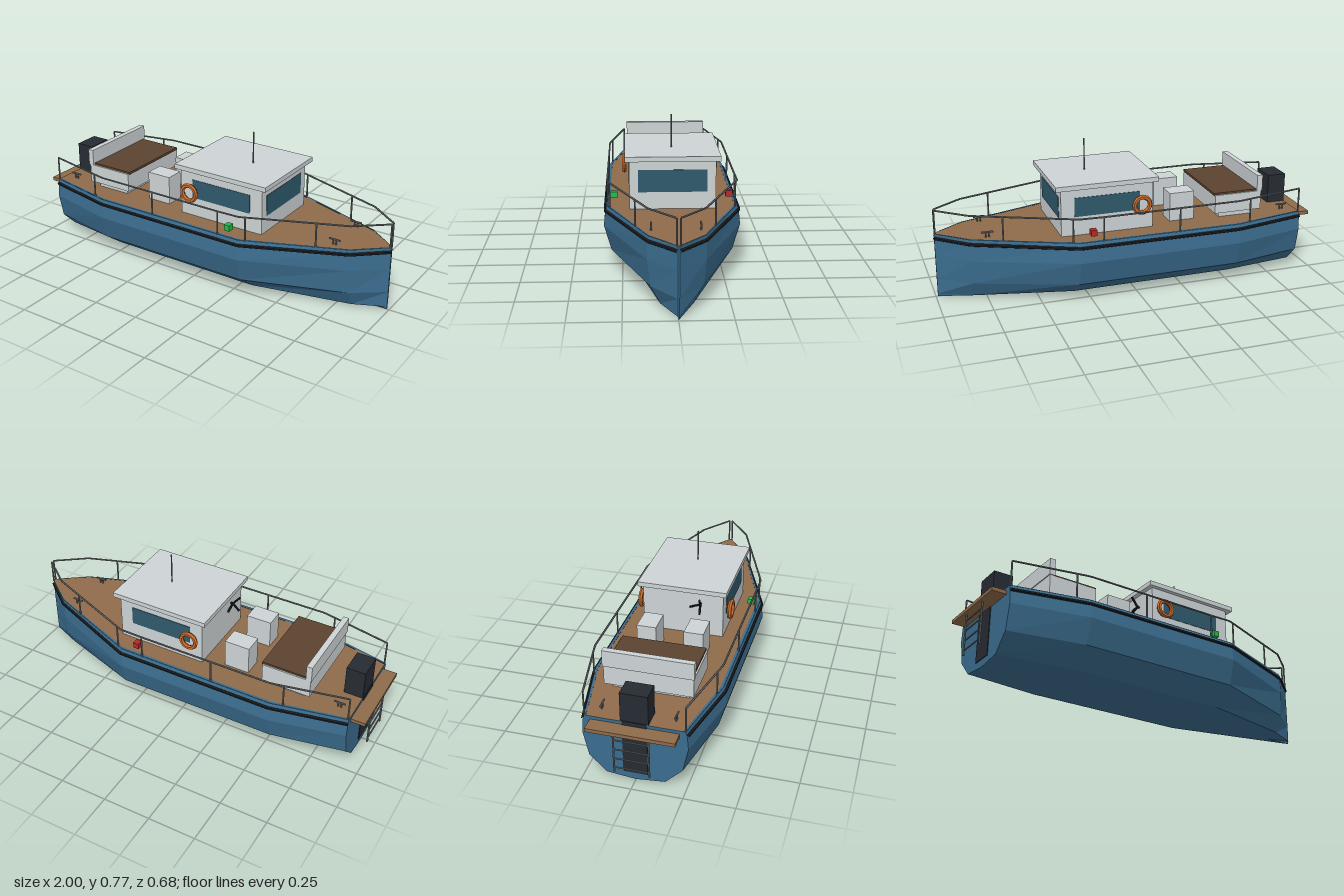
import * as THREE from 'three';

const mat = (color, extra = {}) => new THREE.MeshStandardMaterial({ color, flatShading: true, ...extra });
const M = {
  hull: mat(0x3b6d8f, { side: THREE.DoubleSide }),
  deck: mat(0x8f6b4a, { side: THREE.DoubleSide }),
  wood: mat(0x8f6b4a),
  white: mat(0xcdd3d5),
  cushion: mat(0x5c4330),
  dark: mat(0x262b33),
  rubber: mat(0x1a1c1f),
  glass: mat(0x2f5a6c),
  metal: mat(0x74787d),
  orange: mat(0xcc6a28),
  green: mat(0x28b84c),
  red: mat(0xb82828),
};

// Hull stations: x, width factor, sheer height
const STATIONS = [
  [-0.925, 0.75, 0.326], [-0.54, 1, 0.328], [0.32, 1, 0.331], [0.83, 0.4, 0.341], [0.99, 0.014, 0.346],
];
const BEAM = 0.325;

// Interpolated station at any x
function stationAt(x) {
  let i = 0;
  while (i < STATIONS.length - 2 && x > STATIONS[i + 1][0]) i++;
  const [a, b] = [STATIONS[i], STATIONS[i + 1]];
  const t = (x - a[0]) / (b[0] - a[0]);
  return { w: a[1] + (b[1] - a[1]) * t, top: a[2] + (b[2] - a[2]) * t };
}

// Skin between cross-sections, with optional flat end caps
function loft(sections, caps) {
  const pos = [];
  const tri = (...pts) => pts.forEach((p) => pos.push(...p));
  for (let i = 0; i < sections.length - 1; i++) {
    const [a, b] = [sections[i], sections[i + 1]];
    for (let j = 0; j < a.length - 1; j++) {
      tri(a[j], a[j + 1], b[j]);
      tri(a[j + 1], b[j + 1], b[j]);
    }
  }
  if (caps) {
    const [a, b] = [sections[0], sections[sections.length - 1]];
    for (let j = 1; j < a.length - 1; j++) {
      tri(a[0], a[j + 1], a[j]);
      tri(b[0], b[j], b[j + 1]);
    }
  }
  const g = new THREE.BufferGeometry();
  g.setAttribute('position', new THREE.Float32BufferAttribute(pos, 3));
  g.computeVertexNormals();
  return g;
}

export function createModel() {
  const root = new THREE.Group();
  root.name = 'boat';

  const add = (name, geo, material, x = 0, y = 0, z = 0) => {
    const m = new THREE.Mesh(geo, material);
    m.name = name;
    m.position.set(x, y, z);
    root.add(m);
    return m;
  };
  // Box given by its limits on each axis
  const box = (name, material, [x0, x1], [y0, y1], [z0, z1]) =>
    add(name, new THREE.BoxGeometry(x1 - x0, y1 - y0, z1 - z0), material,
      (x0 + x1) / 2, (y0 + y1) / 2, (z0 + z1) / 2);
  // Round bar between two points
  const bar = (name, material, p, q, r, sides = 6) => {
    const a = new THREE.Vector3(...p), b = new THREE.Vector3(...q);
    const d = b.clone().sub(a), c = a.clone().add(b).multiplyScalar(0.5);
    const m = add(name, new THREE.CylinderGeometry(r, r, d.length(), sides), material, c.x, c.y, c.z);
    m.quaternion.setFromUnitVectors(new THREE.Vector3(0, 1, 0), d.normalize());
    return m;
  };
  // Tube along straight segments
  const polyTube = (name, material, pts, r) => {
    const path = new THREE.CurvePath();
    const v = pts.map((p) => new THREE.Vector3(...p));
    for (let i = 0; i < v.length - 1; i++) path.add(new THREE.LineCurve3(v[i], v[i + 1]));
    return add(name, new THREE.TubeGeometry(path, 80, r, 6, false), material);
  };

  // Hull: chined section scaled along the stations
  const hullSections = STATIONS.map(([x, w, top]) => {
    const half = [[BEAM, top], [0.334, top - 0.025], [0.342, 0.228], [0.305, 0.1], [0.192, 0.015]];
    const left = half.map(([z, y]) => [x, y, z * w]);
    const right = left.map(([, y, z]) => [x, y, -z]).reverse();
    return [...left, [x, 0, 0], ...right];
  });
  add('hull', loft(hullSections, true), M.hull);

  // Rim strips and the deck inside them
  const strip = (z0, z1, lift) => STATIONS.map(([x, w, top]) => [
    [x, top + lift, z0 * w], [x, top + lift, z1 * w],
  ]);
  for (const [a, b] of [[-BEAM, -BEAM + 0.014], [BEAM - 0.014, BEAM]]) {
    add('hullRim', loft(strip(a, b, 0.001)), M.hull);
  }
  add('deck', loft(strip(-BEAM + 0.014, BEAM - 0.014, 0)), M.deck);

  for (const s of [1, -1]) {
    // Rub rail below the sheer
    polyTube('rubRail', M.rubber, STATIONS.map(([x, w, top]) => [x, top - 0.025, s * 0.334 * w]), 0.009);

    // Guard rail and posts
    const railZ = (x) => s * (BEAM - 0.002) * stationAt(x).w;
    const railY = (x) => 0.455 + Math.max(0, (x - 0.2) / 0.79) * 0.016;
    const railX = [-0.92, -0.605, -0.54, -0.21, 0.195, 0.32, 0.675, 0.83, 0.985];
    polyTube('guardRail', M.metal, railX.map((x) => [x, railY(x), railZ(x)]), 0.005);
    for (const x of [-0.92, -0.605, -0.21, 0.195, 0.35, 0.675, 0.985]) {
      bar('railPost', M.metal, [x, stationAt(x).top - 0.002, railZ(x)], [x, railY(x), railZ(x)], 0.0045);
    }

    // Mooring cleats
    for (const [x, z] of [[0.74, 0.115], [-0.85, 0.18]]) {
      const y = stationAt(x).top;
      for (const dx of [-0.008, 0.008]) {
        bar('cleatFoot', M.metal, [x + dx, y - 0.002, s * z], [x + dx, y + 0.027, s * z], 0.004);
      }
      bar('cleatBar', M.metal, [x - 0.03, y + 0.027, s * z], [x + 0.03, y + 0.027, s * z], 0.005);
    }

    // Life ring on the cabin side
    add('lifeRing', new THREE.TorusGeometry(0.041, 0.012, 6, 18), M.orange, -0.035, 0.463, s * 0.239);

    // Navigation light
    add('navigationLight', new THREE.BoxGeometry(0.031, 0.031, 0.035), s > 0 ? M.green : M.red, 0.241, 0.369, s * 0.291);

    // Helm seat
    box('helmSeat', M.white, [-0.345, -0.21], [0.325, 0.481], s > 0 ? [0.072, 0.172] : [-0.172, -0.072]);

    // Side window
    const g = s * 0.2135;
    box('sideWindow', M.glass, [-0.03, 0.315], [0.43, 0.53], [g - 0.002, g + 0.002]);
  }

  // Cabin
  box('cabin', M.white, [-0.1, 0.385], [0.325, 0.58], [-0.213, 0.213]);
  box('cabinRoof', M.white, [-0.125, 0.415], [0.577, 0.602], [-0.235, 0.235]);
  box('frontWindow', M.glass, [0.383, 0.387], [0.418, 0.53], [-0.17, 0.17]);
  bar('antenna', M.metal, [0.2, 0.6, 0], [0.2, 0.77, 0], 0.0035);

  // Helm spokes behind the cabin
  const hub = [-0.112, 0.51, 0.095];
  for (const tip of [[-0.15, 0.556, 0.1], [-0.147, 0.472, 0.1], [-0.114, 0.49, 0.04], [-0.098, 0.51, 0.095]]) {
    bar('helmSpoke', M.rubber, hub, tip, 0.006);
  }

  // Aft bench
  box('benchPlinth', M.white, [-0.67, -0.48], [0.325, 0.362], [-0.19, 0.19]);
  box('benchBody', M.white, [-0.705, -0.445], [0.36, 0.46], [-0.222, 0.222]);
  box('benchCushion', M.cushion, [-0.68, -0.44], [0.457, 0.47], [-0.214, 0.214]);
  box('benchBackrest', M.white, [-0.71, -0.68], [0.46, 0.547], [-0.226, 0.226]);

  // Outboard motor and its leg on the transom
  box('motorCover', M.dark, [-0.925, -0.825], [0.325, 0.482], [-0.068, 0.068]);
  box('motorLeg', M.dark, [-0.929, -0.9], [0.04, 0.33], [-0.06, 0.06]);

  // Swim platform and boarding ladder
  box('swimPlatform', M.wood, [-1, -0.92], [0.29, 0.309], [-0.215, 0.215]);
  for (const z of [-0.085, 0.085]) bar('ladderRail', M.metal, [-0.982, 0.075, z], [-0.982, 0.3, z], 0.005);
  for (let i = 0; i < 4; i++) {
    const y = 0.1 + i * 0.052;
    bar('ladderRung', M.metal, [-0.982, y, -0.085], [-0.982, y, 0.085], 0.004);
  }
  return root;
}
